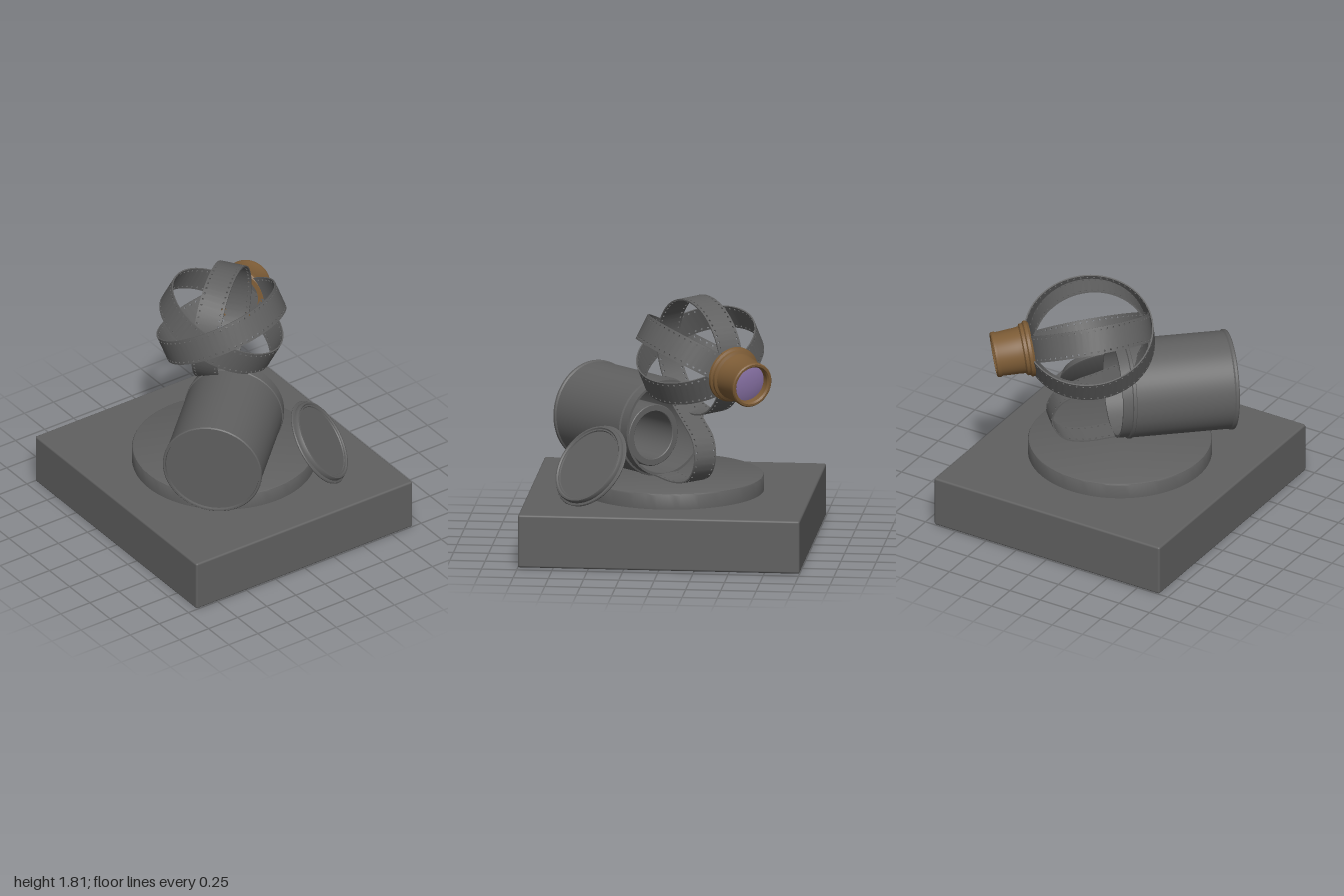
import * as THREE from 'three';
import { mergeGeometries, toCreasedNormals } from 'three/addons/utils/BufferGeometryUtils.js';
import { RoundedBoxGeometry } from 'three/addons/geometries/RoundedBoxGeometry.js';

const V = (x, y, z) => new THREE.Vector3(x, y, z);

function material(name, color) {
  const m = new THREE.MeshStandardMaterial({ color, side: THREE.DoubleSide });
  m.name = name;
  return m;
}

// Turned part: profile of [radius, height] pairs, aimed along a direction.
function turned(name, profile, mat, origin, dir, segments = 64) {
  const pts = profile.map(([r, h]) => new THREE.Vector2(r, h));
  const mesh = new THREE.Mesh(toCreasedNormals(new THREE.LatheGeometry(pts, segments), 0.6), mat);
  mesh.name = name;
  mesh.position.copy(origin);
  mesh.quaternion.setFromUnitVectors(V(0, 1, 0), dir);
  return mesh;
}

// Perforated strip: cells with two holes each, bent along a frame function.
function strip(name, frame, length, cells, mat) {
  const half = 0.095, step = length / cells, parts = [];
  for (let i = 0; i < cells; i++) {
    const shape = new THREE.Shape([
      new THREE.Vector2(0, -half), new THREE.Vector2(step, -half),
      new THREE.Vector2(step, half), new THREE.Vector2(0, half),
    ]);
    for (const y of [-0.076, 0.076]) {
      const hole = new THREE.Path();
      hole.absarc(step / 2, y, 0.008, 0, Math.PI * 2, true);
      shape.holes.push(hole);
    }
    const geo = new THREE.ExtrudeGeometry(shape, { depth: 0.01, bevelEnabled: false, curveSegments: 3 });
    const pos = geo.attributes.position;
    for (let k = 0; k < pos.count; k++) {
      const { p, w, n } = frame((i * step + pos.getX(k)) / length);
      p.addScaledVector(w, pos.getY(k)).addScaledVector(n, pos.getZ(k));
      pos.setXYZ(k, p.x, p.y, p.z);
    }
    parts.push(geo);
  }
  const mesh = new THREE.Mesh(toCreasedNormals(mergeGeometries(parts), 0.6), mat);
  mesh.name = name;
  return mesh;
}

export function createModel() {
  const model = new THREE.Group();
  model.name = 'sculpture';
  const metal = material('dark grey metal', 0x606060);
  const brass = material('brown brass', 0x7d5c36);
  const glass = material('violet glass', 0x8d76ab);
  const up = V(0, 1, 0);

  // Plinth and round step
  const plinth = new THREE.Mesh(new RoundedBoxGeometry(1.86, 0.38, 2, 3, 0.015), metal);
  plinth.name = 'plinth';
  plinth.position.y = 0.19;
  model.add(plinth);
  model.add(turned('roundStep',
    [[0, 0], [0.65, 0], [0.65, 0.1], [0.645, 0.11], [0.635, 0.115], [0, 0.115]],
    metal, V(0, 0.38, 0), up, 96));

  // Lying canister, open at the far end
  const mouth = V(0.08, 0.842, 0.04);
  const canDir = V(0.727, 0.024, -0.686).normalize();
  const canLength = 0.84;
  const canBack = mouth.clone().addScaledVector(canDir, -canLength);
  model.add(turned('canister', [
    [0, 0.018], [0.335, 0.018], [0.338, 0], [0.35, 0], [0.357, 0.008], [0.357, 0.024], [0.349, 0.034],
    [0.349, 0.74], [0.355, 0.745], [0.355, 0.765], [0.343, 0.77], [0.343, 0.84],
    [0.325, 0.84], [0.325, 0.04], [0, 0.04],
  ], metal, canBack, canDir, 80));

  // Rolled core inside the canister
  model.add(turned('rolledCore', [
    [0.17, 0], [0.22, 0], [0.22, 0.655], [0.215, 0.66], [0.175, 0.66], [0.17, 0.655], [0.17, 0],
  ], metal, canBack.clone().addScaledVector(canDir, 0.045).add(V(0, -0.075, 0)), canDir));

  // Loose lid leaning on the step
  const lidDir = V(1, 1, 1).normalize();
  model.add(turned('lid', [
    [0, 0], [0.3, 0], [0.315, 0.006], [0.319, 0.014], [0.315, 0.022], [0.3, 0.026],
    [0.3, 0.045], [0.294, 0.056], [0.282, 0.058], [0.274, 0.05], [0.264, 0.05], [0.26, 0.042], [0, 0.042],
  ], metal, V(0.455, 0.645, 0.535).addScaledVector(lidDir, -0.029), lidDir));

  // Ball of crossed strips, all passing through the lens axis
  const centre = V(0.125, 1.385, -0.212);
  const lensDir = V(0.77, -0.13, -0.62).normalize();
  const side = V(0.627, 0, 0.779).normalize();
  const over = side.clone().cross(lensDir).normalize();
  const ball = new THREE.Group();
  ball.name = 'stripBall';
  for (const [degrees, radius] of [[87, 0.408], [27, 0.45], [-27, 0.436]]) {
    const a = THREE.MathUtils.degToRad(degrees);
    const e = side.clone().multiplyScalar(Math.cos(a)).addScaledVector(over, Math.sin(a));
    const w = lensDir.clone().cross(e).normalize();
    ball.add(strip('ballStrip', (t) => {
      const angle = t * Math.PI * 2;
      const n = lensDir.clone().multiplyScalar(Math.cos(angle)).addScaledVector(e, Math.sin(angle));
      return { p: centre.clone().addScaledVector(n, radius), w, n };
    }, Math.PI * 2 * radius, 60, metal));
  }
  model.add(ball);

  // Loose strip looping from the ball down into the canister
  const along = V(0.727, 0, -0.686).normalize();
  const across = V(0.686, 0, 0.727).normalize();
  const path = new THREE.CatmullRomCurve3([
    [-0.4, 0, 0.525], [0, 0, 0.516], [0.22, 0, 0.505], [0.38, 0, 0.55], [0.455, 0, 0.68],
    [0.41, -0.02, 0.82], [0.27, -0.05, 0.915], [0.12, -0.09, 0.985], [-0.02, -0.13, 1.06],
  ].map(([s, l, y]) => V(mouth.x, y, mouth.z).addScaledVector(along, s).addScaledVector(across, l)));
  model.add(strip('looseStrip', (t) => {
    const u = Math.min(Math.max(t, 0), 1);
    const n = path.getTangentAt(u).cross(across).normalize();
    return { p: path.getPointAt(u), w: across, n };
  }, path.getLength(), 34, metal));

  // Eyepiece tube with flange and recessed lens
  model.add(turned('eyepiece', [
    [0.15, 0.41], [0.185, 0.41], [0.2, 0.425], [0.2, 0.445], [0.186, 0.455], [0.186, 0.475],
    [0.168, 0.485], [0.164, 0.52], [0.157, 0.65], [0.162, 0.66], [0.162, 0.68], [0.155, 0.688],
    [0.14, 0.688], [0.13, 0.675], [0.13, 0.6], [0.15, 0.41],
  ], brass, centre, lensDir));
  model.add(turned('lens', [[0.131, 0.628], [0.1, 0.637], [0.05, 0.643], [0, 0.645]],
    glass, centre, lensDir, 48));

  return model;
}
